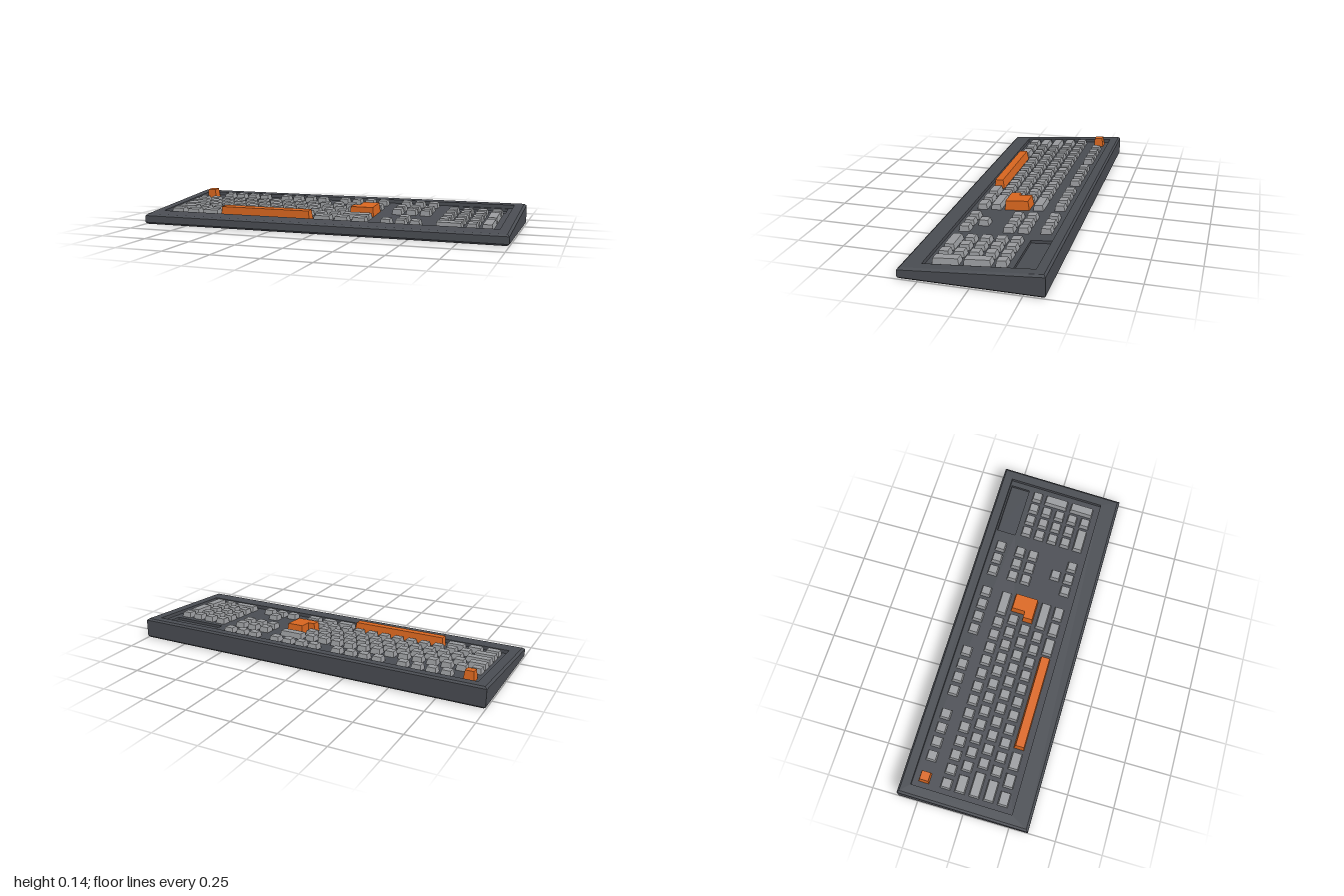
import * as THREE from 'three';

const SLOPE = 0.0835, PLANE = 0.0855;   // sloping top of the case: y = PLANE - SLOPE * z
const TRAY = 0.02;                      // depth of the key tray
const U = 0.078, GAP = 0.022, X0 = -0.921;
const ROWS = [-0.236, -0.12, -0.043, 0.035, 0.1125, 0.19];

const mat = (color) => new THREE.MeshStandardMaterial({ color, flatShading: true });
const caseMat = mat(0x4a4d53), keyMat = mat(0x999b9e), accentMat = mat(0xd9661f);

// Rectangular ring with its own height at the back and the front
const ring = (x0, x1, zb, zf, yb, yf = yb) =>
  [[x1, yf, zf], [x1, yb, zb], [x0, yb, zb], [x0, yf, zf]];
// Ring lying a given depth below the sloping top
const sunk = (x0, x1, zb, zf, depth) =>
  ring(x0, x1, zb, zf, PLANE - SLOPE * zb - depth, PLANE - SLOPE * zf - depth);

// Skin over successive rings, closed at both ends
function loft(rings) {
  const pos = [];
  const quad = (a, b, c, d) => pos.push(...a, ...b, ...c, ...a, ...c, ...d);
  for (let i = 0; i + 1 < rings.length; i++) {
    for (let j = 0; j < 4; j++) {
      const k = (j + 1) % 4;
      quad(rings[i][j], rings[i][k], rings[i + 1][k], rings[i + 1][j]);
    }
  }
  const first = rings[0], last = rings[rings.length - 1];
  quad(first[3], first[2], first[1], first[0]);
  quad(last[0], last[1], last[2], last[3]);
  const geo = new THREE.BufferGeometry();
  geo.setAttribute('position', new THREE.Float32BufferAttribute(pos, 3));
  geo.computeVertexNormals();
  return geo;
}

// Draw the top of a key inwards by a fixed inset
function taper(geo, w, d, inset = 0.005) {
  const p = geo.attributes.position;
  for (let i = 0; i < p.count; i++) {
    if (p.getY(i) > 0) {
      p.setX(i, p.getX(i) * (1 - 2 * inset / w));
      p.setZ(i, p.getZ(i) * (1 - 2 * inset / d));
    }
  }
  geo.computeVertexNormals();
  return geo;
}

export function createModel() {
  const model = new THREE.Group();
  model.name = 'keyboard';

  // Case: underside recess, chamfered wedge, key tray and sunken panel
  const body = new THREE.Mesh(loft([
    ring(0.62, 0.97, -0.33, -0.19, 0.01),
    ring(0.62, 0.97, -0.33, -0.19, 0),
    ring(-0.988, 0.988, -0.342, 0.342, 0),
    ring(-1, 1, -0.352, 0.352, 0.01),
    ring(-1, 1, -0.352, 0.352, 0.105, 0.047),
    sunk(-0.988, 0.988, -0.342, 0.34, 0),
    sunk(-0.94, 0.94, -0.295, 0.25, 0),
    sunk(-0.94, 0.94, -0.295, 0.25, TRAY),
    sunk(0.603, 0.908, -0.287, -0.18, TRAY),
    sunk(0.603, 0.908, -0.287, -0.18, TRAY + 0.015),
  ]), caseMat);
  body.name = 'case';
  model.add(body);

  // Keys live in a frame tilted with the top of the case
  const keys = new THREE.Group();
  keys.name = 'keys';
  keys.position.y = PLANE;
  keys.rotation.x = Math.atan(SLOPE);
  model.add(keys);

  // One key: start and width in key units, spanning one or more rows
  function key(name, row, start, width = 1, rows = 1, accent = false) {
    const w = width * U - GAP;
    const z0 = ROWS[row] - 0.028, z1 = ROWS[row + rows - 1] + 0.028;
    const top = accent ? 0.031 : 0.009, h = top + TRAY;
    const geo = taper(new THREE.BoxGeometry(w, h, z1 - z0), w, z1 - z0);
    const mesh = new THREE.Mesh(geo, accent ? accentMat : keyMat);
    mesh.name = name;
    mesh.position.set(X0 + (start + width / 2) * U, top - h / 2, (z0 + z1) / 2);
    keys.add(mesh);
  }
  function run(name, row, start, count) {
    for (let i = 0; i < count; i++) key(name, row, start + i);
  }

  // Function row
  key('escapeKey', 0, 0, 1, 1, true);
  for (const s of [1.5, 6.25, 11]) run('functionKey', 0, s, 4);

  // Main block
  run('numberKey', 1, 0, 13);
  key('backspaceKey', 1, 13, 2);
  key('tabKey', 2, 0, 1.5);
  run('letterKey', 2, 1.5, 12);
  key('capsKey', 3, 0, 2);
  run('letterKey', 3, 2, 11);
  key('leftShiftKey', 4, 0, 1.75);
  run('letterKey', 4, 1.75, 11);
  key('rightShiftKey', 4, 12.75, 2.25);
  for (const [s, w] of [[0, 1.25], [1.25, 1.25], [2.5, 1.5], [11, 1.5], [12.5, 1.25], [13.75, 1.25]]) {
    key('modifierKey', 5, s, w);
  }
  key('spaceBar', 5, 4, 7, 1, true);

  // L-shaped enter key
  const hw = U - GAP / 2, hd = 0.067, h = TRAY + 0.031;
  const notchX = -hw + U / 2, notchZ = hd - 0.056;
  const outline = new THREE.Shape([
    [-hw, -hd], [hw, -hd], [hw, hd], [notchX, hd], [notchX, -notchZ], [-hw, -notchZ],
  ].map(([x, y]) => new THREE.Vector2(x, y)));
  const enterGeo = new THREE.ExtrudeGeometry(outline, { depth: h, bevelEnabled: false });
  enterGeo.translate(0, 0, -h / 2).rotateX(-Math.PI / 2);
  const enter = new THREE.Mesh(taper(enterGeo, 2 * hw, 2 * hd), accentMat);
  enter.name = 'enterKey';
  enter.position.set(X0 + 14 * U, 0.031 - h / 2, (ROWS[2] + ROWS[3]) / 2);
  keys.add(enter);

  // Navigation and arrow keys
  for (const row of [0, 1, 2]) run('navigationKey', row, 15.75, 3);
  key('arrowKey', 4, 16.75);
  run('arrowKey', 5, 15.75, 3);

  // Number pad
  run('padKey', 1, 19.5, 4);
  for (const row of [2, 3, 4]) run('padKey', row, 19.5, 3);
  key('padZeroKey', 5, 19.5, 2);
  key('padKey', 5, 21.5);
  key('padPlusKey', 2, 22.5, 1, 2);
  key('padEnterKey', 4, 22.5, 1, 2);

  return model;
}
